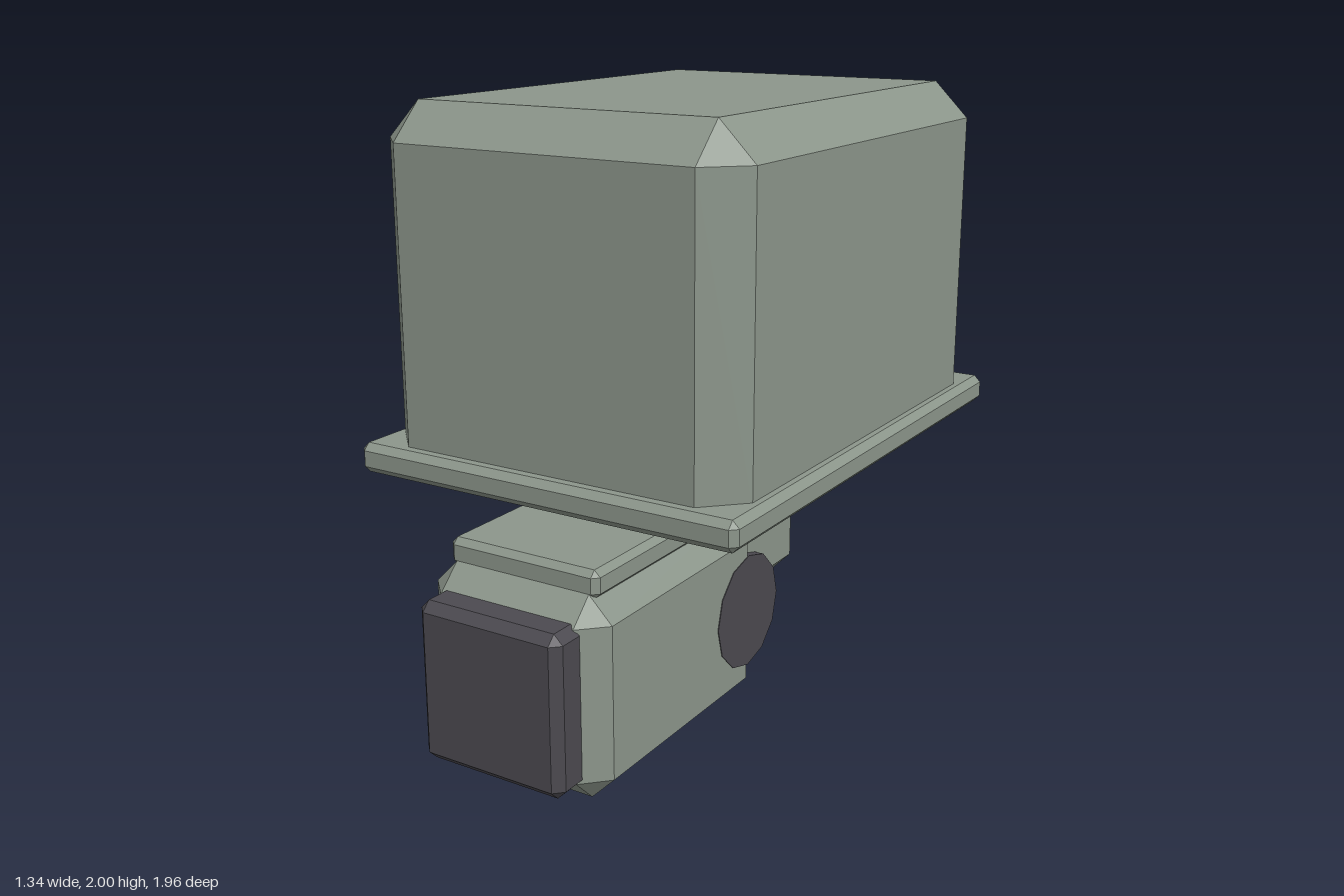
import * as THREE from 'three';
import { ConvexGeometry } from 'three/addons/geometries/ConvexGeometry.js';

const makeMaterial = (name, color) => {
  const m = new THREE.MeshStandardMaterial({ color });
  m.name = name;
  return m;
};

// Box between two corners with every edge cut back by c
function chamferBox([x0, y0, z0], [x1, y1, z1], c) {
  const half = [(x1 - x0) / 2, (y1 - y0) / 2, (z1 - z0) / 2];
  const points = [];
  for (const sx of [-1, 1]) for (const sy of [-1, 1]) for (const sz of [-1, 1]) {
    const sign = [sx, sy, sz];
    // each corner becomes three points, one on each neighbouring face
    for (let axis = 0; axis < 3; axis++) {
      points.push(new THREE.Vector3(...sign.map((s, i) => s * (half[i] - (i === axis ? 0 : c)))));
    }
  }
  const geometry = new ConvexGeometry(points);
  geometry.translate((x0 + x1) / 2, (y0 + y1) / 2, (z0 + z1) / 2);
  return geometry;
}

// Cylinder with flat facets
const facetedCylinder = (radius, length, sides) =>
  new THREE.CylinderGeometry(radius, radius, length, sides).toNonIndexed();

export function createModel() {
  const model = new THREE.Group();
  model.name = 'boxOnPivotHead';
  const green = makeMaterial('greyGreen', 0x8c968b);
  const dark = makeMaterial('darkGrey', 0x4c4a50);
  const ochre = makeMaterial('ochre', 0xc99b58);

  const add = (name, geometry, material) => {
    geometry.computeVertexNormals();
    const mesh = new THREE.Mesh(geometry, material);
    mesh.name = name;
    model.add(mesh);
    return mesh;
  };

  // Large housing with its rim and side panel
  add('housing', chamferBox([-0.628, 0.83, -0.925], [0.628, 2, 0.75], 0.117), green);
  add('rim', chamferBox([-0.67, 0.865, -0.98], [0.67, 0.96, 0.8], 0.022), green);
  add('sidePanel', chamferBox([-0.657, 1.28, -0.555], [-0.62, 1.655, 0.365], 0.01), ochre);

  // Neck under the housing, with the rod behind it
  add('neck', chamferBox([-0.34, 0.327, -0.41], [0.24, 0.95, 0.235], 0.07), green);
  const rod = add('rearRod', facetedCylinder(0.06, 0.45, 8), green);
  rod.position.set(-0.05, 0.675, -0.445);

  // Tilting head, with top plate and front cap
  add('head', chamferBox([-0.375, 0, -0.065], [0.27, 0.65, 0.88], 0.08), green);
  add('topPlate', chamferBox([-0.325, 0.63, 0.183], [0.217, 0.72, 0.8], 0.02), green);
  add('frontCap', chamferBox([-0.31, 0.065, 0.84], [0.205, 0.582, 0.98], 0.03), dark);

  // Pivot drum across the head
  const pivot = add('pivotDrum', facetedCylinder(0.195, 0.65, 12), dark);
  pivot.rotation.z = Math.PI / 2;
  pivot.position.set(-0.0525, 0.322, 0.01);

  // Three bars on the right side of the head
  for (const y of [0.226, 0.325, 0.424]) {
    add('ventBar', chamferBox([-0.407, y - 0.025, 0.13], [-0.36, y + 0.025, 0.59], 0.011), dark);
  }

  return model;
}
